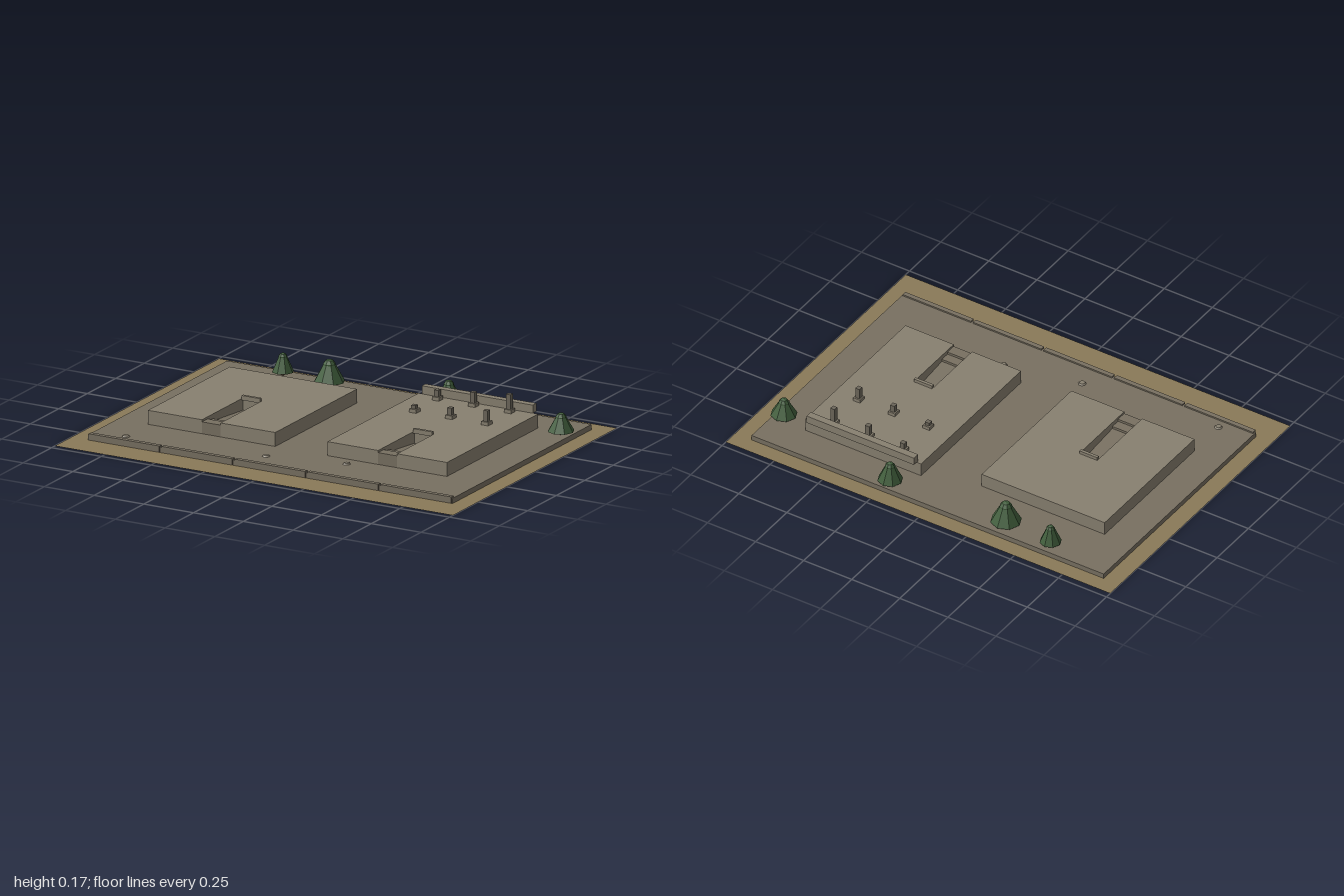
import * as THREE from 'three';

const mat = (color, extra = {}) => new THREE.MeshStandardMaterial({ color, ...extra });
const earth = mat(0x8a7a58, { side: THREE.DoubleSide });
const paving = mat(0x787061);
const concrete = mat(0x888070);
const steel = mat(0x6c665a);
const bark = mat(0x4a3a28);
const leaf = mat(0x3f5c3a, { flatShading: true });

function add(parent, name, geometry, material, x = 0, y = 0, z = 0) {
  const mesh = new THREE.Mesh(geometry, material);
  mesh.name = name;
  mesh.position.set(x, y, z);
  parent.add(mesh);
  return mesh;
}

// Box given by its extents on each axis
function block(parent, name, [x0, x1], [y0, y1], [z0, z1], material) {
  return add(parent, name, new THREE.BoxGeometry(x1 - x0, y1 - y0, z1 - z0), material,
    (x0 + x1) / 2, (y0 + y1) / 2, (z0 + z1) / 2);
}

const DECK = 0.024, ROOF = 0.088;

// Low bunker: slab with a slot open to the front, and a stepped ramp down to the door
function bunker(name, x0, x1, back, front, slotX0, slotX1, slotBack) {
  const g = new THREE.Group();
  g.name = name;
  const plan = new THREE.Shape([
    [x0, front], [slotX0, front], [slotX0, slotBack], [slotX1, slotBack],
    [slotX1, front], [x1, front], [x1, back], [x0, back],
  ].map(([x, z]) => new THREE.Vector2(x, -z)));
  const slab = new THREE.ExtrudeGeometry(plan, { depth: ROOF - DECK + 0.002, bevelEnabled: false });
  slab.rotateX(-Math.PI / 2);
  add(g, 'bunkerSlab', slab, concrete, 0, DECK - 0.002, 0);

  // Entry profile drawn as (z, y), swept across the slot
  const profile = new THREE.Shape([
    [slotBack, DECK - 0.002], [front, DECK - 0.002], [front, 0.078], [front - 0.05, 0.078],
    [front - 0.05, 0.067], [front - 0.095, 0.067], [front - 0.095, 0.056], [slotBack, 0.032],
  ].map(([z, y]) => new THREE.Vector2(z, y)));
  const ramp = new THREE.ExtrudeGeometry(profile, { depth: slotX1 - slotX0, bevelEnabled: false });
  ramp.rotateY(-Math.PI / 2);
  add(g, 'entryRamp', ramp, paving, slotX1, 0, 0);
  block(g, 'entryLintel', [slotX0, slotX1], [ROOF - 0.006, 0.103], [slotBack, slotBack + 0.014], concrete);
  return g;
}

// Roof vent: square foot, square pipe
function vent(parent, x, z, top) {
  const g = new THREE.Group();
  g.name = 'roofVent';
  g.position.set(x, ROOF, z);
  add(g, 'ventFoot', new THREE.BoxGeometry(0.036, 0.016, 0.036), concrete, 0, 0.008, 0);
  const h = top - ROOF;
  add(g, 'ventPipe', new THREE.BoxGeometry(0.022, h, 0.022), steel, 0, h / 2, 0);
  parent.add(g);
}

// Tree: trunk, eight-sided skirt and rounded crown
function tree(parent, x, z, r, top) {
  const g = new THREE.Group();
  g.name = 'tree';
  g.position.set(x, 0, z);
  add(g, 'trunk', new THREE.CylinderGeometry(0.006, 0.008, 0.05, 6), bark, 0, 0.025, 0);
  const low = 0.04, crown = r * 0.42, skirtTop = top - crown * 0.7;
  add(g, 'foliage', new THREE.CylinderGeometry(r * 0.36, r, skirtTop - low, 8), leaf, 0, (low + skirtTop) / 2, 0);
  add(g, 'crown', new THREE.SphereGeometry(crown, 8, 5), leaf, 0, top - crown, 0);
  parent.add(g);
}

export function createModel() {
  const model = new THREE.Group();
  model.name = 'bunkerSite';

  // Ground and paved yard
  const ground = new THREE.PlaneGeometry(2, 1.44);
  ground.rotateX(-Math.PI / 2);
  add(model, 'ground', ground, earth);
  block(model, 'yard', [-0.917, 0.915], [0, DECK], [-0.645, 0.575], paving);

  // Front kerb in five lengths with narrow joints
  const length = 1.834 / 5;
  for (let i = 0; i < 5; i++) {
    const x = -0.917 + i * length;
    block(model, 'kerb', [x + 0.006, x + length - 0.006], [0.002, 0.031], [0.558, 0.58], paving);
  }

  // Loose flat stones
  for (const [x, z] of [[-0.09, 0.455], [0.27, 0.378], [-0.76, 0.515]])
    add(model, 'flatStone', new THREE.CylinderGeometry(0.013, 0.019, 0.007, 7), concrete, x, DECK + 0.003, z);

  // Two bunkers
  model.add(bunker('leftBunker', -0.765, -0.125, -0.403, 0.315, -0.493, -0.4, -0.045));
  const main = bunker('rightBunker', 0.137, 0.738, -0.485, 0.315, 0.392, 0.487, -0.005);
  model.add(main);
  block(main, 'rearParapet', [0.158, 0.716], [ROOF + 0.002, 0.127], [-0.51, -0.477], concrete);

  // Vents rise along x, the rear row taller
  [0.255, 0.436, 0.617].forEach((x, i) => {
    vent(main, x, -0.445, 0.134 + i * 0.019);
    vent(main, x, -0.245, 0.12 + i * 0.017);
  });

  // Trees
  tree(model, -0.605, -0.59, 0.049, 0.126);
  tree(model, -0.36, -0.57, 0.07, 0.142);
  tree(model, 0.225, -0.597, 0.057, 0.132);
  tree(model, 0.87, -0.455, 0.06, 0.124);
  return model;
}
